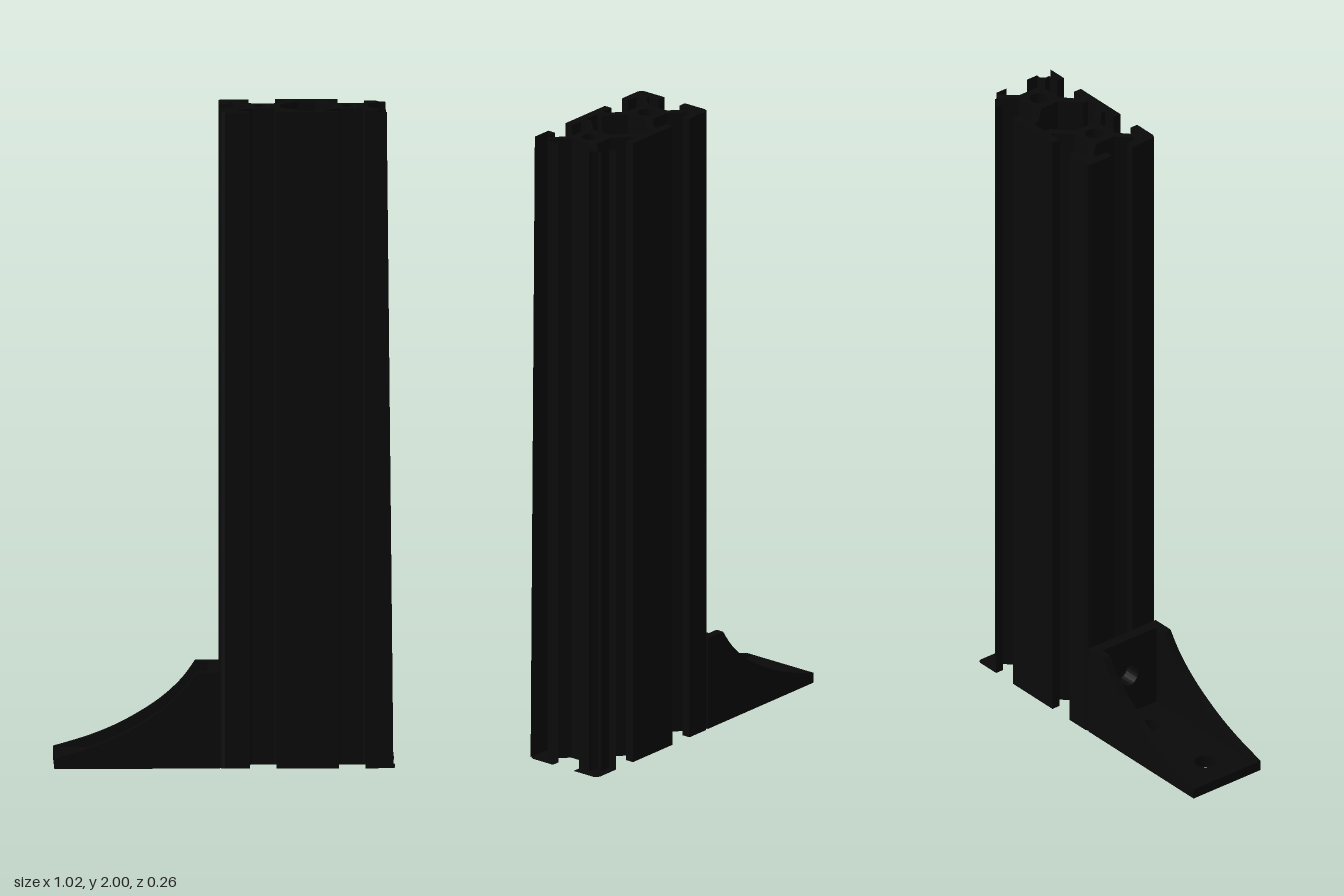
import * as THREE from 'three';

const mat = new THREE.MeshStandardMaterial({ color: 0x0a0a0a, side: THREE.DoubleSide });
const BASE = 0.008, TOP = 2, MIRROR = 0.497;

const shapeOf = pts => new THREE.Shape(pts.map(p => new THREE.Vector2(p[0], p[1])));
const flipX = pts => pts.map(([x, z]) => [MIRROR - x, z]);
const flipZ = pts => pts.map(([x, z]) => [x, -z]);
const back = pts => [...pts].reverse();

function circle(x, y, r) {
  const p = new THREE.Path();
  p.absarc(x, y, r, 0, Math.PI * 2, true);
  return p;
}

function add(group, name, geometry) {
  const m = new THREE.Mesh(geometry, mat);
  m.name = name;
  group.add(m);
  return m;
}

const extrude = (shape, depth) =>
  new THREE.ExtrudeGeometry(shape, { depth, bevelEnabled: false, curveSegments: 12 });

// Shape in x/z, extruded between two heights
const upright = (shape, y0, y1) => extrude(shape, y1 - y0).rotateX(Math.PI / 2).translate(0, y1, 0);
// Shape in z/y, extruded along x
const sideways = (shape, x0, x1) => extrude(shape, x1 - x0).rotateY(-Math.PI / 2).translate(x1, 0, 0);

// Thin wall standing on the segment a-b, with an optional different top end
function wall(a, b, bTop = b) {
  const g = new THREE.BufferGeometry();
  g.setAttribute('position', new THREE.Float32BufferAttribute([
    a[0], BASE, a[1], b[0], BASE, b[1], bTop[0], TOP, bTop[1], a[0], TOP, a[1]], 3));
  g.setIndex([0, 1, 2, 0, 2, 3]);
  g.computeVertexNormals();
  return g;
}

function buildExtrusion() {
  const g = new THREE.Group();
  g.name = 'slottedColumn';
  // Quarter outlines: lip and corner, then hub, arm and middle flange
  const lip = [[0.026, 0.078], [0.012, 0.078], [0.012, 0.04], [-0.0145, 0.04], [-0.0145, 0.117],
    [-0.01, 0.127], [0, 0.1315], [0.075, 0.1315], [0.075, 0.105], [0.038, 0.105], [0.038, 0.092]];
  const inner = [[0.083, 0.05], [0.15, 0.05], [0.196, 0.092], [0.196, 0.105], [0.155, 0.105], [0.155, 0.1315]];
  const start = [[0.066, 0.035]];
  const left = [...start, ...lip, ...inner];
  const right = flipX([...start, lip[0], lip[10], ...inner]);
  const profile = shapeOf([...left, ...back(right), ...flipZ(right), ...back(flipZ(left))]);

  // Bores and middle cavity
  for (const x of [0.117, 0.38]) profile.holes.push(circle(x, 0, 0.028));
  const cav = [[0.168, 0.033], [0.222, 0.087], [0.222, 0.105]];
  const cavR = flipX(cav);
  profile.holes.push(shapeOf([...cav, ...back(cavR), ...flipZ(cavR), ...back(flipZ(cav))]));
  add(g, 'columnBody', upright(profile, BASE, TOP));

  // Open corners at the far end: bottom plates and inner walls
  for (const flip of [p => p, flipZ]) {
    const c = flip(flipX(lip));
    add(g, 'cornerFoot', new THREE.ShapeGeometry(shapeOf(c)).rotateX(Math.PI / 2).translate(0, BASE, 0));
    for (const i of [0, 1, 7, 8, 9]) add(g, 'cornerWall', wall(c[i], c[i + 1]));
  }
  // Tapering front skin
  add(g, 'frontSkin', wall([0.422, 0.1315], [0.506, 0.1315], [0.486, 0.1315]));
  return g;
}

function buildBracket() {
  const g = new THREE.Group();
  g.name = 'footBracket';
  const x0 = -0.512, x1 = -0.0145, half = 0.13, holes = [-0.41, -0.145];

  // Base plate with bolt holes and locating rings beneath
  const base = shapeOf([[x0, -half], [x1, -half], [x1, half], [x0, half]]);
  for (const x of holes) {
    base.holes.push(circle(x, 0, 0.034));
    const ring = new THREE.Shape().absarc(x, 0, 0.045, 0, Math.PI * 2);
    ring.holes.push(circle(x, 0, 0.034));
    add(g, 'locatingRing', upright(ring, 0, BASE));
  }
  add(g, 'basePlate', upright(base, BASE, 0.04));

  // Upright plate bolted to the column
  const plate = shapeOf([[-half, 0.04], [half, 0.04], [half, 0.3], [-half, 0.3]]);
  plate.holes.push(circle(0, 0.17, 0.034));
  add(g, 'uprightPlate', sideways(plate, x1 - 0.035, x1));
  const tab = new THREE.Shape().absarc(0, 0.17, 0.038, 0, Math.PI * 2);
  tab.holes.push(circle(0, 0.17, 0.034));
  add(g, 'uprightRing', sideways(tab, x1, 0));

  // Curved gussets on both sides
  const side = new THREE.Shape();
  side.moveTo(x0, 0.04);
  side.splineThru([[-0.4, 0.074], [-0.3, 0.117], [-0.2, 0.178], [-0.13, 0.24], [-0.085, 0.3]]
    .map(p => new THREE.Vector2(...p)));
  side.lineTo(x1, 0.3);
  side.lineTo(x1, 0.04);
  for (const z of [-half, half - 0.025])
    add(g, 'gusset', extrude(side, 0.025).translate(0, 0, z));
  return g;
}

export function createModel() {
  const model = new THREE.Group();
  model.name = 'columnWithFoot';
  model.add(buildExtrusion(), buildBracket());
  return model;
}
